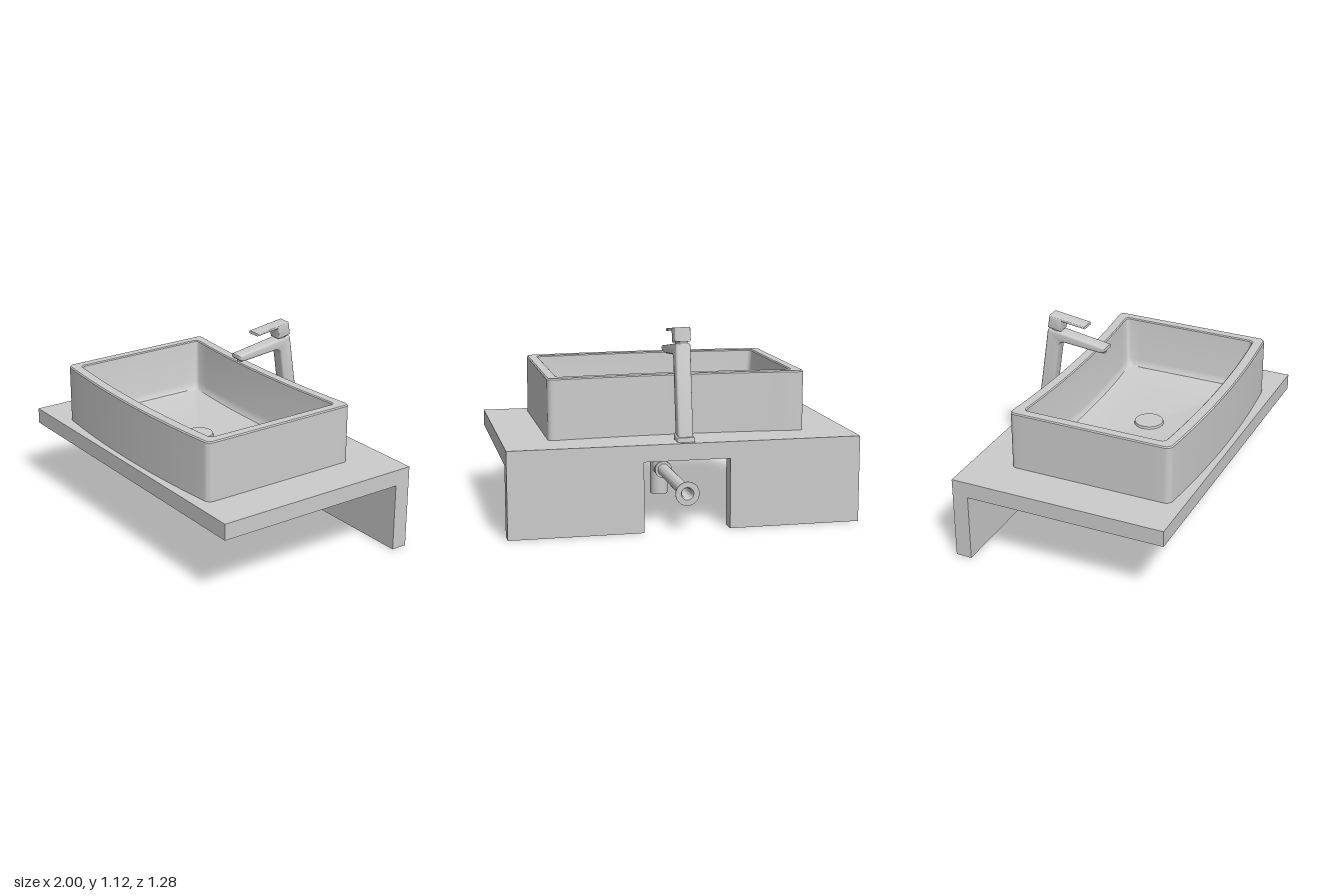
import * as THREE from 'three';
import { toCreasedNormals } from 'three/addons/utils/BufferGeometryUtils.js';

const material = new THREE.MeshStandardMaterial({ color: 0xcccccc });
const thinMaterial = new THREE.MeshStandardMaterial({ color: 0xcccccc, side: THREE.DoubleSide });

function part(parent, name, geometry, x = 0, y = 0, z = 0, mat = material) {
  const mesh = new THREE.Mesh(geometry, mat);
  mesh.name = name;
  mesh.position.set(x, y, z);
  parent.add(mesh);
  return mesh;
}

// Rounded rectangle whose front and back edges both bow towards +z
function bowedRing(y, halfWidth, back, front, radius, bow) {
  const points = [], mid = (back + front) / 2, halfDepth = (front - back) / 2;
  const corners = [[1, 1], [-1, 1], [-1, -1], [1, -1]];
  const arc = 6, edge = 14;
  const add = (x, z) => points.push(
    new THREE.Vector3(x, y, z + bow * (1 - (x / halfWidth) ** 2)));
  const onArc = (k, i) => {
    const [sx, sz] = corners[k % 4], a = (k + i / arc) * Math.PI / 2;
    return [sx * (halfWidth - radius) + radius * Math.cos(a),
      mid + sz * (halfDepth - radius) + radius * Math.sin(a)];
  };
  for (let k = 0; k < 4; k++) {
    for (let i = 0; i <= arc; i++) add(...onArc(k, i));
    const p = onArc(k, arc), q = onArc(k + 1, 0);
    for (let i = 1; i < edge; i++) {
      const t = i / edge;
      add(p[0] + (q[0] - p[0]) * t, p[1] + (q[1] - p[1]) * t);
    }
  }
  return points;
}

// Skin a stack of rings and close the last one with a fan
function loft(rings, centre) {
  const n = rings[0].length, index = [];
  const points = [...rings.flat(), centre];
  for (let r = 0; r < rings.length; r++) {
    for (let i = 0; i < n; i++) {
      const a = r * n + i, b = r * n + (i + 1) % n;
      if (r === rings.length - 1) index.push(a, points.length - 1, b);
      else index.push(a, a + n, b, b, a + n, b + n);
    }
  }
  const geometry = new THREE.BufferGeometry().setFromPoints(points);
  geometry.setIndex(index);
  return toCreasedNormals(geometry, 0.6);
}

// Side profile in (z, y), extruded across x with softened edges
function sideExtrude(shape, width, bevel) {
  const geometry = new THREE.ExtrudeGeometry(shape, {
    depth: width - 2 * bevel, bevelEnabled: true, bevelThickness: bevel,
    bevelSize: bevel, bevelOffset: -bevel, bevelSegments: 4, curveSegments: 8,
  });
  geometry.translate(0, 0, -(width - 2 * bevel) / 2);
  geometry.rotateY(-Math.PI / 2);
  return toCreasedNormals(geometry, 0.6);
}

const polygon = (pts) => new THREE.Shape(pts.map(([z, y]) => new THREE.Vector2(z, y)));

function createModel() {
  const model = new THREE.Group();
  model.name = 'washbasinUnit';

  // Countertop and the two rear support panels
  part(model, 'countertop', new THREE.BoxGeometry(2, 0.095, 1.28), 0, 0.4475, 0);
  for (const side of [-1, 1]) {
    part(model, side > 0 ? 'leftPanel' : 'rightPanel',
      new THREE.BoxGeometry(0.755, 0.4, 0.095), side * 0.6225, 0.2, -0.5925);
  }

  // Vessel basin: outer wall, rim, inner wall, filleted floor
  const basin = new THREE.Group();
  basin.name = 'basin';
  model.add(basin);
  const rings = [
    [0.495, 0.740, -0.410, 0.562, 0.035, 0.042],
    [0.835, 0.740, -0.410, 0.562, 0.035, 0.042],
    [0.842, 0.734, -0.404, 0.556, 0.030, 0.042],
    [0.842, 0.684, -0.346, 0.508, 0.028, 0.036],
    [0.836, 0.678, -0.340, 0.502, 0.026, 0.036],
    [0.580, 0.652, -0.322, 0.494, 0.030, 0.036],
    [0.552, 0.645, -0.315, 0.488, 0.030, 0.036],
    [0.537, 0.633, -0.303, 0.476, 0.030, 0.036],
    [0.532, 0.615, -0.285, 0.458, 0.030, 0.036],
  ].map((r) => bowedRing(...r));
  part(basin, 'bowl', loft(rings, new THREE.Vector3(0, 0.53, 0.115)), 0, 0, 0, thinMaterial);
  part(basin, 'drainCap', new THREE.CylinderGeometry(0.083, 0.086, 0.016, 48), 0, 0.537, 0.115);

  // Tap: leaning column with spout in one profile
  const tap = new THREE.Group();
  tap.name = 'tap';
  model.add(tap);
  const body = new THREE.Shape();
  body.moveTo(-0.600, 0.505);
  body.lineTo(-0.525, 1.022);
  body.quadraticCurveTo(-0.523, 1.036, -0.508, 1.034);
  body.lineTo(-0.150, 0.976);
  body.lineTo(-0.148, 0.958);
  body.quadraticCurveTo(-0.160, 0.937, -0.195, 0.939);
  body.lineTo(-0.415, 0.960);
  body.quadraticCurveTo(-0.450, 0.962, -0.456, 0.925);
  body.lineTo(-0.517, 0.505);
  body.closePath();
  part(tap, 'tapBody', sideExtrude(body, 0.086, 0.014));
  part(tap, 'tapFoot', sideExtrude(polygon([
    [-0.612, 0.493], [-0.608, 0.520], [-0.508, 0.533], [-0.503, 0.493],
  ]), 0.1, 0.008));
  part(tap, 'aerator', new THREE.CylinderGeometry(0.018, 0.018, 0.02, 24), 0, 0.941, -0.18);

  // Lever handle on a short neck
  part(tap, 'handleNeck', new THREE.CylinderGeometry(0.035, 0.035, 0.05, 32), 0, 1.033, -0.478)
    .rotation.x = 0.14;
  part(tap, 'handleBlock', sideExtrude(polygon([
    [-0.520, 1.044], [-0.508, 1.122], [-0.425, 1.110], [-0.438, 1.028],
  ]), 0.092, 0.01));
  part(tap, 'lever', sideExtrude(polygon([
    [-0.508, 1.122], [-0.280, 1.090], [-0.278, 1.075], [-0.505, 1.104],
  ]), 0.088, 0.006));

  // Waste pipework under the countertop
  const waste = new THREE.Group();
  waste.name = 'wastePipe';
  model.add(waste);
  const zPipe = 0.12, yPipe = 0.21;
  part(waste, 'tailpiece', new THREE.CylinderGeometry(0.041, 0.041, 0.14, 40), 0, 0.34, zPipe);
  part(waste, 'trapBody', new THREE.CylinderGeometry(0.052, 0.052, 0.24, 40), 0, 0.16, zPipe);
  const across = (name, radius, z0, z1) => part(waste, name,
    new THREE.CylinderGeometry(radius, radius, z0 - z1, 40).rotateX(Math.PI / 2),
    0, yPipe, (z0 + z1) / 2);
  across('trapBranch', 0.048, zPipe, 0.002);
  across('trapCollar', 0.051, 0.004, -0.02);

  // Open outlet pipe flaring into the wall flange
  const outlet = [
    [0.027, 0], [0.036, 0], [0.036, 0.605], [0.045, 0.614], [0.068, 0.618],
    [0.068, 0.625], [0.036, 0.625], [0.027, 0.6], [0.027, 0],
  ].map(([r, d]) => new THREE.Vector2(r, d));
  part(waste, 'outletPipe',
    toCreasedNormals(new THREE.LatheGeometry(outlet, 40).rotateX(-Math.PI / 2), 0.6),
    0, yPipe, -0.015, thinMaterial);

  return model;
}

export { createModel };
